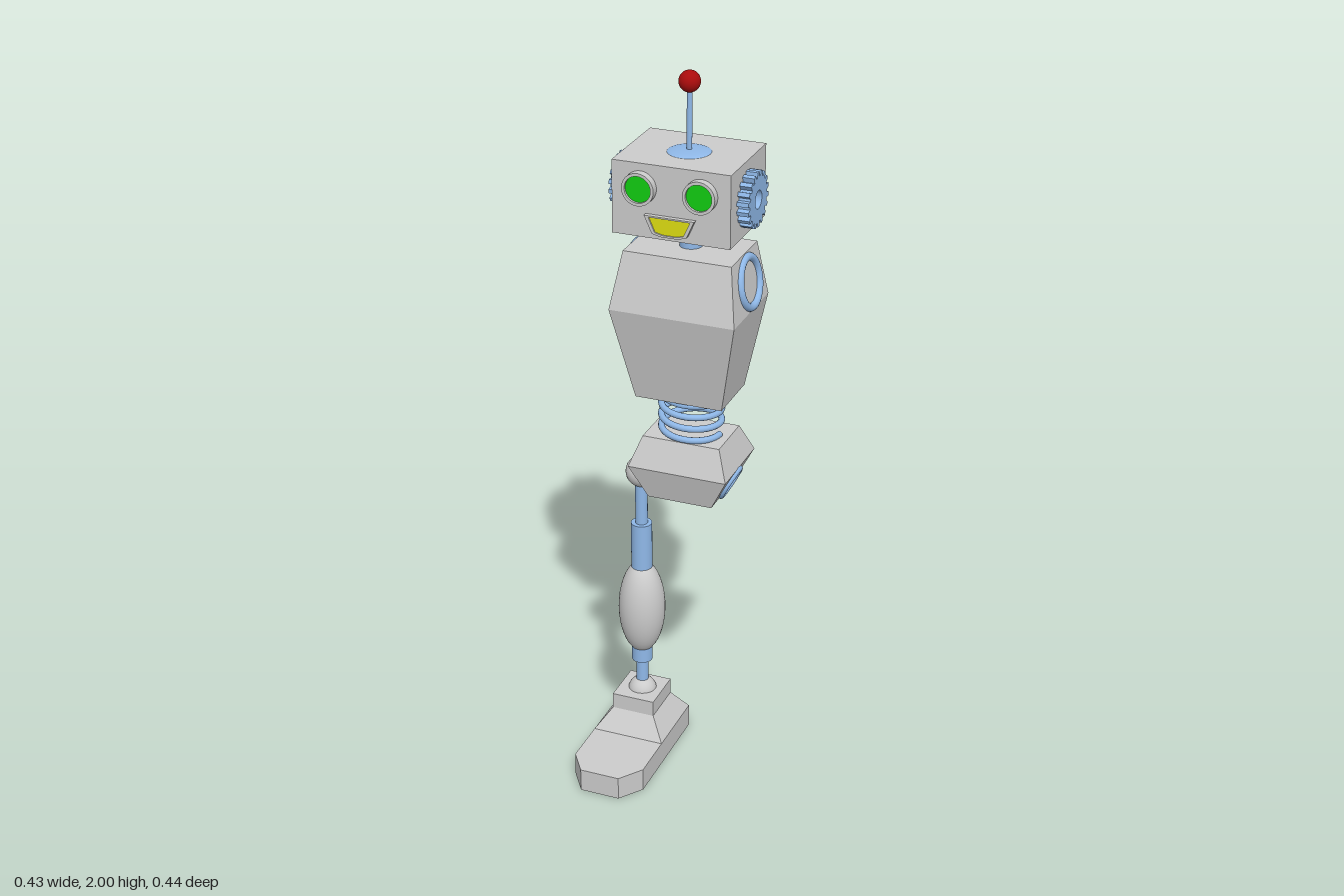
import * as THREE from 'three';

const material = (color, flatShading = false) => new THREE.MeshStandardMaterial({ color, flatShading });
const GREY = material(0xcccccc), GREY_FLAT = material(0xcccccc, true);
const BLUE = material(0x8fb8e8), GREEN = material(0x11cc11);
const YELLOW = material(0xdddd11), RED = material(0xaa0c0c);

const BODY_X = 0.025, LEG_X = -0.114, LEG_Z = -0.09;

// Rectangular cross-sections [y, centre x, half width, back z, front z] joined into a faceted solid
function loft(sections) {
  const rings = sections.map(([y, cx, w, back, front]) => [
    [cx - w, y, front], [cx + w, y, front], [cx + w, y, back], [cx - w, y, back]]);
  const pos = [];
  const quad = (a, b, c, d) => pos.push(...a, ...b, ...c, ...a, ...c, ...d);
  for (let i = 0; i < rings.length - 1; i++) {
    const low = rings[i], high = rings[i + 1];
    for (let j = 0; j < 4; j++) {
      const k = (j + 1) % 4;
      quad(low[j], low[k], high[k], high[j]);
    }
  }
  quad(...rings[rings.length - 1]);
  quad(...[...rings[0]].reverse());
  const geo = new THREE.BufferGeometry();
  geo.setAttribute('position', new THREE.Float32BufferAttribute(pos, 3));
  geo.computeVertexNormals();
  return geo;
}

const polygon = points => new THREE.Shape(points.map(([x, y]) => new THREE.Vector2(x, y)));
const extrude = (shape, depth) =>
  new THREE.ExtrudeGeometry(shape, { depth, bevelEnabled: false, curveSegments: 24 });

// Toothed wheel with a round hole, facing +z
function gearGeometry(teeth, outer, root, hole, depth) {
  const points = [], step = (Math.PI * 2) / teeth;
  for (let i = 0; i < teeth; i++) {
    for (const [f, r] of [[0, root], [0.3, root], [0.42, outer], [0.85, outer]]) {
      const a = (i + f) * step;
      points.push([r * Math.cos(a), r * Math.sin(a)]);
    }
  }
  const shape = polygon(points);
  shape.holes.push(new THREE.Path().absarc(0, 0, hole, 0, Math.PI * 2, true));
  return extrude(shape, depth);
}

export function createModel() {
  const robot = new THREE.Group();
  robot.name = 'robot';

  function add(name, geo, mat, x = 0, y = 0, z = 0) {
    const mesh = new THREE.Mesh(geo, mat);
    mesh.name = name;
    mesh.position.set(x, y, z);
    robot.add(mesh);
    return mesh;
  }
  const rod = (name, r, y0, y1, x, z, mat = BLUE) =>
    add(name, new THREE.CylinderGeometry(r, r, y1 - y0, 28), mat, x, (y0 + y1) / 2, z);
  const ball = (name, r, x, y, z, mat = GREY) =>
    add(name, new THREE.SphereGeometry(r, 32, 20), mat, x, y, z);

  // Foot: chamfered sole, sloped instep and ankle block
  const sole = extrude(polygon([
    [-0.217, 0.193], [-0.217, -0.152], [-0.172, -0.217],
    [-0.06, -0.217], [-0.013, -0.152], [-0.013, 0.193]]), 0.066);
  sole.rotateX(-Math.PI / 2);
  add('sole', sole, GREY_FLAT);
  add('instep', loft([
    [0.066, -0.115, 0.102, -0.193, 0.017],
    [0.125, -0.115, 0.061, -0.153, -0.022],
    [0.17, -0.115, 0.061, -0.153, -0.022]]), GREY_FLAT);

  // Leg
  ball('ankleBall', 0.04, LEG_X, 0.162, LEG_Z);
  rod('ankleRod', 0.017, 0.17, 0.27, LEG_X, LEG_Z);
  rod('shinCollar', 0.029, 0.265, 0.33, LEG_X, LEG_Z);
  ball('calf', 0.065, LEG_X, 0.435, LEG_Z).scale.y = 2.2;
  rod('thighSleeve', 0.029, 0.54, 0.70, LEG_X, LEG_Z);
  rod('thighRod', 0.017, 0.69, 0.85, LEG_X, LEG_Z);
  ball('hipBall', 0.044, LEG_X, 0.856, LEG_Z - 0.004);

  // Pelvis and torso
  add('pelvis', loft([
    [0.825, BODY_X, 0.09, -0.19, -0.02],
    [0.918, BODY_X, 0.138, -0.218, 0.005],
    [1.0, BODY_X, 0.108, -0.178, -0.026]]), GREY_FLAT);
  add('torso', loft([
    [1.122, BODY_X, 0.12, -0.18, -0.008],
    [1.382, BODY_X, 0.171, -0.21, 0.045],
    [1.533, BODY_X, 0.147, -0.184, 0.005]]), GREY_FLAT);

  // Joint rings lying on the sloped sides
  for (const [side, label] of [[1, 'left'], [-1, 'right']]) {
    const joints = [
      ['ShoulderRing', 0.065, 0.011, 0.16, 1.456, 0.984, 0.176],
      ['HipRing', 0.044, 0.009, 0.115, 0.872, 0.889, -0.459]];
    for (const [part, radius, tube, dx, y, nx, ny] of joints) {
      const ring = add(label + part, new THREE.TorusGeometry(radius, tube, 14, 40), BLUE,
        BODY_X + side * dx, y, -0.095);
      ring.quaternion.setFromUnitVectors(
        new THREE.Vector3(0, 0, 1), new THREE.Vector3(side * nx, ny, 0).normalize());
    }
  }

  // Waist spring
  const coil = [], turns = 3.5;
  for (let i = 0; i <= turns * 24; i++) {
    const a = (i / 24) * Math.PI * 2;
    coil.push(new THREE.Vector3(0.08 * Math.cos(a), 1.003 + 0.117 * i / (turns * 24), 0.08 * Math.sin(a)));
  }
  add('waistSpring', new THREE.TubeGeometry(new THREE.CatmullRomCurve3(coil), 200, 0.009, 10), BLUE,
    BODY_X, 0, -0.105);

  // Neck and head
  rod('neck', 0.03, 1.525, 1.605, BODY_X, -0.095);
  add('head', new THREE.BoxGeometry(0.316, 0.194, 0.252), GREY, BODY_X, 1.693, -0.081);

  // Eyes: raised rim around a coloured lens
  const rim = [[0.043, 0], [0.043, 0.021], [0.035, 0.021], [0.035, 0]];
  for (const [side, label] of [[1, 'left'], [-1, 'right']]) {
    const x = BODY_X + side * 0.081;
    const outer = new THREE.Shape().absarc(0, 0, rim[0][0], 0, Math.PI * 2);
    outer.holes.push(new THREE.Path().absarc(0, 0, rim[2][0], 0, Math.PI * 2, true));
    add(label + 'EyeRim', extrude(outer, rim[1][1]), GREY, x, 1.727, 0.045);
    const lens = new THREE.CylinderGeometry(0.035, 0.035, 0.014, 36);
    lens.rotateX(Math.PI / 2);
    add(label + 'EyeLens', lens, GREEN, x, 1.727, 0.052);
  }

  // Mouth: tapered frame around a coloured inset
  const lips = s => [[-0.067, 0.024], [-0.046, -0.022], [-0.022, -0.028],
    [0.022, -0.028], [0.046, -0.022], [0.067, 0.024]].map(([x, y]) => [x * s, y * s]);
  const frame = polygon(lips(1));
  frame.holes.push(new THREE.Path(lips(0.83).reverse().map(([x, y]) => new THREE.Vector2(x, y))));
  add('mouthFrame', extrude(frame, 0.013), GREY_FLAT, BODY_X, 1.636, 0.045);
  add('mouth', extrude(polygon(lips(0.83)), 0.009), YELLOW, BODY_X, 1.636, 0.045);

  // Ear gears
  const gear = gearGeometry(18, 0.074, 0.061, 0.024, 0.031);
  for (const [side, label] of [[1, 'left'], [-1, 'right']]) {
    add(label + 'EarGear', gear, BLUE, BODY_X + side * 0.158, 1.692, side > 0 ? -0.07 : -0.08)
      .rotation.y = side * Math.PI / 2;
  }

  // Antenna
  ball('antennaBase', 0.057, BODY_X, 1.789, -0.08, BLUE).scale.y = 0.14;
  rod('antennaRod', 0.007, 1.79, 1.96, BODY_X, -0.08);
  ball('antennaTip', 0.028, BODY_X, 1.972, -0.08, RED);

  return robot;
}
